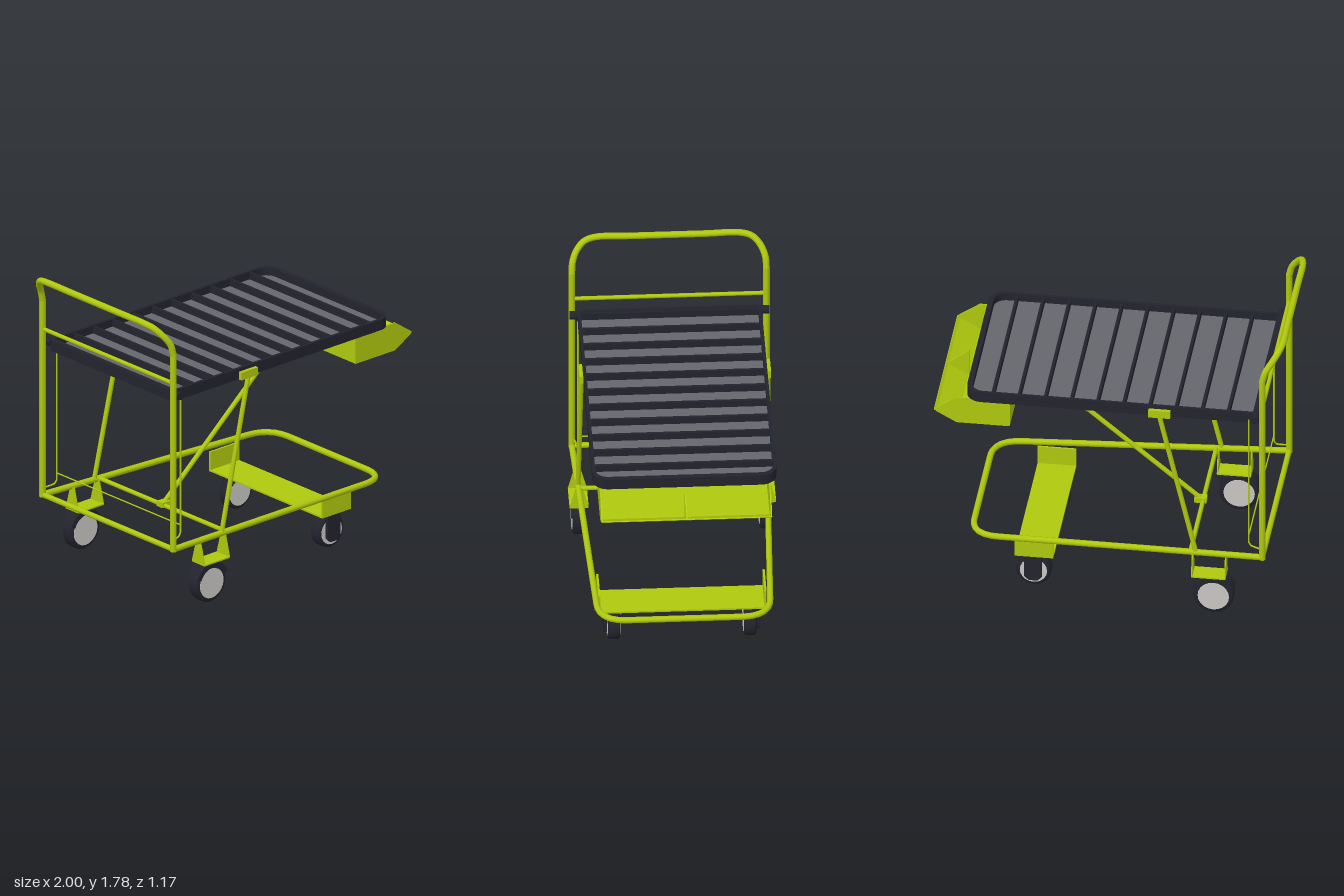
import * as THREE from 'three';

const mat = (name, color) => {
  const m = new THREE.MeshStandardMaterial({ color, side: THREE.DoubleSide });
  m.name = name;
  return m;
};
const V = (x, y, z) => new THREE.Vector3(x, y, z);

export function createModel() {
  const lime = mat('limePaint', 0xafc80d);
  const black = mat('blackRubber', 0x22232d);
  const grey = mat('greyPanel', 0x65656d);
  const hubGrey = mat('lightHub', 0xc9c6c2);
  const root = new THREE.Group();
  root.name = 'platformTrolley';

  const add = (name, geo, material, parent = root) => {
    const m = new THREE.Mesh(geo, material);
    m.name = name;
    parent.add(m);
    return m;
  };
  const box = (name, material, x0, x1, y0, y1, z0, z1, parent) => {
    const g = new THREE.BoxGeometry(x1 - x0, y1 - y0, z1 - z0);
    g.translate((x0 + x1) / 2, (y0 + y1) / 2, (z0 + z1) / 2);
    return add(name, g, material, parent);
  };
  // Straight round bar between two points
  const bar = (name, a, b, r, material = lime) => {
    const m = add(name, new THREE.CylinderGeometry(r, r, a.distanceTo(b), 10), material);
    m.position.copy(a).add(b).multiplyScalar(0.5);
    m.quaternion.setFromUnitVectors(V(0, 1, 0), b.clone().sub(a).normalize());
    return m;
  };
  // Bent tube: straight runs with rounded corners of the given radius
  const bent = (name, pts, corner, r, segments = 100) => {
    const path = new THREE.CurvePath();
    let prev = pts[0];
    for (let i = 1; i < pts.length - 1; i++) {
      const p = pts[i];
      const inn = p.clone().add(pts[i - 1].clone().sub(p).setLength(corner));
      const out = p.clone().add(pts[i + 1].clone().sub(p).setLength(corner));
      path.add(new THREE.LineCurve3(prev, inn));
      path.add(new THREE.QuadraticBezierCurve3(inn, p, out));
      prev = out;
    }
    path.add(new THREE.LineCurve3(prev, pts[pts.length - 1]));
    return add(name, new THREE.TubeGeometry(path, segments, r, 10), lime);
  };
  // Extrude an x/y outline along z, centred on z
  const slab = (name, shape, z, depth, material, parent) => {
    const g = new THREE.ExtrudeGeometry(shape, { depth, bevelEnabled: false, curveSegments: 10 });
    g.translate(0, 0, z - depth / 2);
    return add(name, g, material, parent);
  };
  const poly = (pts) => new THREE.Shape(pts.map(([x, y]) => new THREE.Vector2(x, y)));

  // Push handle: uprights that lean back into a rounded arch
  const arch = new THREE.CatmullRomCurve3([
    [-0.882, 1.58, 0.55], [-0.9, 1.645, 0.545], [-0.935, 1.7, 0.52],
    [-0.965, 1.742, 0.475], [-0.98, 1.757, 0.41], [-0.98, 1.757, 0.2],
    [-0.98, 1.757, -0.2], [-0.98, 1.757, -0.41], [-0.965, 1.742, -0.475],
    [-0.935, 1.7, -0.52], [-0.9, 1.645, -0.545], [-0.882, 1.58, -0.55],
  ].map((p) => V(...p)));
  add('handleArch', new THREE.TubeGeometry(arch, 80, 0.019, 12), lime);
  bar('handleCrossBar', V(-0.882, 1.405, -0.55), V(-0.882, 1.405, 0.55), 0.012);

  // Base loop, tapering slightly to the rounded end
  bent('baseLoop', [V(-0.882, 0.392, 0.55), V(0.79, 0.352, 0.485),
    V(0.79, 0.352, -0.485), V(-0.882, 0.392, -0.55)], 0.16, 0.018);
  bar('baseEndBar', V(-0.882, 0.392, -0.55), V(-0.882, 0.392, 0.55), 0.016);
  bar('baseCrossBar', V(-0.47, 0.385, -0.53), V(-0.47, 0.385, 0.53), 0.013);
  box('strutFoot', lime, -0.49, -0.42, 0.375, 0.405, -0.025, 0.025);
  bar('centreStrut', V(-0.46, 0.39, 0), V(0.575, 1.265, 0), 0.014);
  bar('rodCrossBar', V(-0.8, 0.51, -0.52), V(-0.8, 0.51, 0.52), 0.004);

  for (const s of [1, -1]) {
    bar('handleUpright', V(-0.882, 0.38, s * 0.55), V(-0.882, 1.585, s * 0.55), 0.019);
    bar('sideStrut', V(-0.5, 0.39, s * 0.535), V(-0.29, 1.29, s * 0.528), 0.014);
    box('strutBracket', lime, -0.355, -0.23, 1.275, 1.322, s * 0.53 - 0.012, s * 0.53 + 0.012);
    bent('thinRod', [V(-0.8, 1.3, s * 0.52), V(-0.8, 0.447, s * 0.52),
      V(-0.88, 0.437, s * 0.54)], 0.03, 0.005, 40);
    const knob = add('hingeKnob', new THREE.CylinderGeometry(0.024, 0.024, 0.05, 12), black);
    knob.rotation.x = Math.PI / 2;
    knob.position.set(-0.84, 1.32, s * 0.54);
  }

  // Deck outline with larger rounded corners at one end
  const deckOutline = (x0, x1, w, rSmall, rBig, Kind) => {
    const p = new Kind();
    p.moveTo(x0 + rSmall, -w);
    p.lineTo(x1 - rBig, -w);
    p.absarc(x1 - rBig, -w + rBig, rBig, -Math.PI / 2, 0, false);
    p.absarc(x1 - rBig, w - rBig, rBig, 0, Math.PI / 2, false);
    p.absarc(x0 + rSmall, w - rSmall, rSmall, Math.PI / 2, Math.PI, false);
    p.absarc(x0 + rSmall, -w + rSmall, rSmall, Math.PI, Math.PI * 1.5, false);
    return p;
  };
  const layFlat = (name, shape, y, h, material) => {
    const g = new THREE.ExtrudeGeometry(shape, { depth: h, bevelEnabled: false, curveSegments: 8 });
    g.rotateX(-Math.PI / 2);
    g.translate(0, y, 0);
    return add(name, g, material);
  };
  const rim = deckOutline(-0.86, 0.815, 0.52, 0.025, 0.09, THREE.Shape);
  rim.holes.push(deckOutline(-0.84, 0.785, 0.502, 0.015, 0.07, THREE.Path));
  layFlat('deckRim', rim, 1.277, 0.065, black);
  layFlat('deckPanel', deckOutline(-0.85, 0.8, 0.51, 0.02, 0.08, THREE.Shape), 1.284, 0.012, grey);
  for (let i = 0; i < 11; i++) {
    const x = -0.83 + i * 0.149;
    box('deckRib', black, x - 0.008, x + 0.008, 1.279, 1.338, -0.505, 0.505);
  }

  // Open bin below the deck end, with a central divider
  const bin = new THREE.Group();
  bin.name = 'endBin';
  root.add(bin);
  const profile = [[0.57, 1.105], [0.87, 1.105], [0.985, 1.17], [0.998, 1.182], [0.87, 1.272], [0.57, 1.272]];
  for (const s of [1, -1]) slab('binEnd', poly(profile), s * 0.479, 0.008, lime, bin);
  slab('binDivider', poly([[0.865, 1.11], [0.99, 1.18], [0.865, 1.272]]), 0, 0.01, lime, bin);
  const shell = [profile[5], profile[0], profile[1], profile[2], profile[3]];
  for (let i = 0; i < 4; i++) {
    const [ax, ay] = shell[i], [bx, by] = shell[i + 1];
    const wall = add('binWall', new THREE.BoxGeometry(Math.hypot(bx - ax, by - ay), 0.007, 0.96), lime, bin);
    wall.position.set((ax + bx) / 2, (ay + by) / 2, 0);
    wall.rotation.z = Math.atan2(by - ay, bx - ax);
  }

  // Wheels: dark tyre with a pale disc on each face
  const wheel = (name, x, z, r, width) => {
    const g = new THREE.Group();
    g.name = name;
    g.position.set(x, r, z);
    g.rotation.x = Math.PI / 2;
    root.add(g);
    const w = width / 2, c = 0.012;
    const tyre = [[r * 0.7, -w], [r - c, -w], [r, -w + c], [r, w - c], [r - c, w], [r * 0.7, w]];
    const geo = new THREE.LatheGeometry(tyre.map(([a, b]) => new THREE.Vector2(a, b)), 20);
    add('tyre', geo, black, g);
    add('hub', new THREE.CylinderGeometry(r * 0.78, r * 0.78, width + 0.004, 20), hubGrey, g);
  };

  // Wide bracket across the base carrying the front wheels
  box('axlePlate', lime, 0.32, 0.54, 0.225, 0.235, -0.47, 0.47);
  for (const s of [1, -1]) {
    box('axlePlateEnd', lime, 0.32, 0.54, 0.225, 0.345, s * 0.47 - 0.006, s * 0.47 + 0.006);
    wheel('frontWheel', 0.44, s * 0.385, 0.1, 0.072);
    const fork = poly([[0.39, 0.228], [0.39, 0.07], [0.415, 0.045], [0.465, 0.045], [0.49, 0.07], [0.49, 0.228]]);
    slab('frontFork', fork, s * 0.434, 0.018, black);

    // Rear wheels hang from pairs of tapered plates
    wheel('rearWheel', -0.605, s * 0.53, 0.115, 0.072);
    const guard = new THREE.Shape();
    guard.absarc(-0.605, 0.12, 0.122, 0.35, Math.PI - 0.35, false);
    guard.absarc(-0.605, 0.12, 0.09, Math.PI - 0.35, 0.35, true);
    slab('wheelGuard', guard, s * 0.53, 0.088, black);
    box('rearWheelPlate', lime, -0.675, -0.48, 0.24, 0.248, s * 0.53 - 0.054, s * 0.53 + 0.054);
    for (const x of [-0.672, -0.483]) {
      const leg = slab('rearWheelLeg', poly([[-0.054, 0.244], [0.054, 0.244], [0.016, 0.385], [-0.016, 0.385]]),
        0, 0.007, lime);
      leg.rotation.y = Math.PI / 2;
      leg.position.set(x, 0, s * 0.53);
    }
  }
  return root;
}
